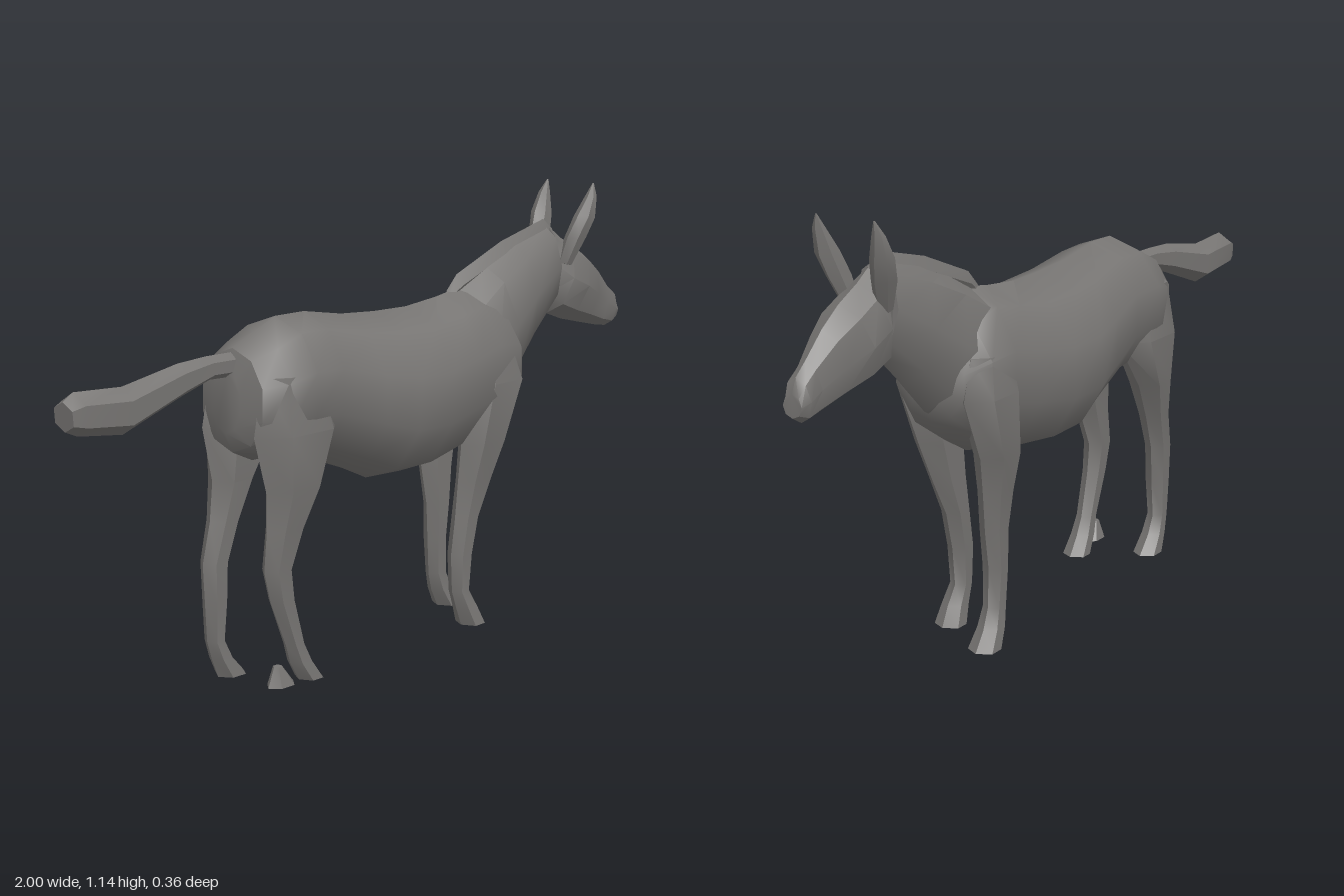
import * as THREE from 'three';
import { toCreasedNormals } from 'three/addons/utils/BufferGeometryUtils.js';

const coat = new THREE.MeshStandardMaterial({ color: 0x777573 });
coat.name = 'grey coat';

// Closed loft through oval sections: [x1, y1, x2, y2, halfWidth, zCentre].
// (x1,y1) and (x2,y2) are the opposite ends of the oval in the side plane.
function loft(name, sections, sides = 8, crease = 0.75) {
  const pos = [], index = [];
  for (const [x1, y1, x2, y2, w, z = 0] of sections) {
    for (let j = 0; j < sides; j++) {
      const t = (j / sides) * Math.PI * 2, c = Math.cos(t) / 2;
      pos.push((x1 + x2) / 2 + c * (x1 - x2), (y1 + y2) / 2 + c * (y1 - y2), z + w * Math.sin(t));
    }
  }
  const last = (sections.length - 1) * sides;
  for (let i = 0; i < last; i += sides) {
    for (let j = 0; j < sides; j++) {
      const k = (j + 1) % sides;
      index.push(i + j, i + k, i + sides + j, i + k, i + sides + k, i + sides + j);
    }
  }
  for (let j = 1; j < sides - 1; j++) {
    index.push(0, j + 1, j, last, last + j, last + j + 1);
  }
  const geo = new THREE.BufferGeometry();
  geo.setAttribute('position', new THREE.Float32BufferAttribute(pos, 3));
  geo.setIndex(index);
  const mesh = new THREE.Mesh(toCreasedNormals(geo, crease), coat);
  mesh.name = name;
  return mesh;
}

// Leg rows run downwards: [y, frontX, backX, halfWidth, z]
const leg = (name, side, rows) =>
  loft(name, rows.map(([y, f, b, w, z]) => [f, y, b, y, w, z * side]), 6);

export function createModel() {
  const g = new THREE.Group();
  g.name = 'donkey';

  // Barrel, rump and chest
  g.add(loft('body', [
    [-0.51, 0.79, -0.515, 0.64, 0.05],
    [-0.49, 0.845, -0.495, 0.59, 0.11],
    [-0.42, 0.875, -0.43, 0.56, 0.145],
    [-0.35, 0.905, -0.36, 0.56, 0.16],
    [-0.25, 0.905, -0.26, 0.54, 0.15],
    [-0.12, 0.883, -0.12, 0.487, 0.17],
    [0, 0.875, -0.03, 0.445, 0.188],
    [0.12, 0.873, 0.1, 0.44, 0.185],
    [0.24, 0.885, 0.24, 0.465, 0.165],
    [0.33, 0.9, 0.34, 0.49, 0.155],
    [0.42, 0.86, 0.43, 0.54, 0.145],
    [0.48, 0.79, 0.485, 0.6, 0.1],
    [0.5, 0.74, 0.505, 0.65, 0.06],
  ], 10));

  // Neck and mane ridge
  g.add(loft('neck', [
    [0.3, 0.89, 0.42, 0.58, 0.12],
    [0.42, 0.955, 0.51, 0.63, 0.1],
    [0.54, 1.0, 0.59, 0.71, 0.08],
    [0.68, 1.035, 0.7, 0.81, 0.062],
  ]));
  g.add(loft('mane', [
    [0.28, 0.895, 0.29, 0.86, 0.008],
    [0.32, 0.935, 0.34, 0.88, 0.018],
    [0.5, 1.005, 0.51, 0.94, 0.018],
    [0.68, 1.05, 0.67, 0.98, 0.018],
    [0.72, 1.02, 0.71, 0.97, 0.012],
  ], 4));

  // Head tapering to the muzzle
  g.add(loft('head', [
    [0.7, 1.03, 0.68, 0.82, 0.045],
    [0.76, 0.99, 0.7, 0.785, 0.075],
    [0.83, 0.955, 0.765, 0.762, 0.076],
    [0.89, 0.912, 0.85, 0.742, 0.055],
    [0.95, 0.855, 0.925, 0.725, 0.036],
    [0.985, 0.825, 0.97, 0.718, 0.036],
    [1.0, 0.79, 1.0, 0.735, 0.026],
  ], 8, 0.6));

  // Ears
  for (const s of [1, -1]) {
    g.add(loft(s > 0 ? 'rightEar' : 'leftEar', [
      [0.7, 0.93, 0.74, 0.92, 0.02, 0.045 * s],
      [0.708, 1.0, 0.78, 1.0, 0.027, 0.064 * s],
      [0.738, 1.06, 0.796, 1.05, 0.029, 0.076 * s],
      [0.772, 1.11, 0.8, 1.11, 0.017, 0.082 * s],
      [0.796, 1.145, 0.8, 1.145, 0.002, 0.08 * s],
    ], 6, 0.4));
  }

  // Outstretched tail, from tip to root
  g.add(loft('tail', [
    [-1.0, 0.79, -0.995, 0.72, 0.038, -0.005],
    [-0.97, 0.808, -0.96, 0.705, 0.05, -0.005],
    [-0.83, 0.8, -0.83, 0.688, 0.047, -0.005],
    [-0.66, 0.83, -0.65, 0.75, 0.034, -0.005],
    [-0.57, 0.835, -0.56, 0.777, 0.026, -0.005],
    [-0.46, 0.835, -0.46, 0.775, 0.024, 0],
  ], 6));

  // Front legs, in mid step
  g.add(leg('frontRightLeg', 1, [
    [0.76, 0.42, 0.28, 0.04, 0.1],
    [0.66, 0.47, 0.25, 0.06, 0.1],
    [0.5, 0.4, 0.235, 0.052, 0.095],
    [0.4, 0.36, 0.235, 0.04, 0.085],
    [0.3, 0.31, 0.23, 0.034, 0.08],
    [0.2, 0.285, 0.215, 0.032, 0.08],
    [0.1, 0.275, 0.22, 0.028, 0.08],
    [0.05, 0.305, 0.235, 0.034, 0.083],
    [0, 0.33, 0.255, 0.042, 0.083],
  ]));
  g.add(leg('frontLeftLeg', -1, [
    [0.76, 0.46, 0.3, 0.04, 0.1],
    [0.66, 0.49, 0.28, 0.06, 0.1],
    [0.5, 0.415, 0.27, 0.052, 0.095],
    [0.4, 0.39, 0.28, 0.04, 0.085],
    [0.3, 0.375, 0.295, 0.034, 0.08],
    [0.2, 0.36, 0.3, 0.032, 0.08],
    [0.1, 0.365, 0.305, 0.028, 0.08],
    [0.05, 0.39, 0.32, 0.034, 0.083],
    [0, 0.425, 0.345, 0.042, 0.083],
  ]));

  // Hind legs
  g.add(leg('hindRightLeg', 1, [
    [0.78, -0.28, -0.48, 0.05, 0.09],
    [0.64, -0.23, -0.508, 0.07, 0.09],
    [0.5, -0.29, -0.47, 0.055, 0.09],
    [0.4, -0.345, -0.465, 0.04, 0.085],
    [0.3, -0.385, -0.47, 0.034, 0.08],
    [0.22, -0.375, -0.45, 0.03, 0.08],
    [0.1, -0.345, -0.4, 0.027, 0.08],
    [0.05, -0.32, -0.385, 0.032, 0.08],
    [0, -0.285, -0.355, 0.038, 0.08],
  ]));
  g.add(leg('hindLeftLeg', -1, [
    [0.78, -0.28, -0.48, 0.05, 0.09],
    [0.64, -0.25, -0.51, 0.07, 0.09],
    [0.5, -0.36, -0.48, 0.055, 0.09],
    [0.4, -0.41, -0.495, 0.04, 0.085],
    [0.3, -0.45, -0.525, 0.034, 0.08],
    [0.2, -0.455, -0.52, 0.032, 0.08],
    [0.1, -0.465, -0.515, 0.027, 0.08],
    [0.05, -0.44, -0.5, 0.032, 0.08],
    [0, -0.395, -0.48, 0.038, 0.08],
  ]));

  // Small loose hoof piece beside the hind foot
  g.add(leg('looseHoof', 1, [
    [0.06, -0.43, -0.455, 0.012, 0.095],
    [0.01, -0.39, -0.475, 0.03, 0.095],
  ]));

  return g;
}
